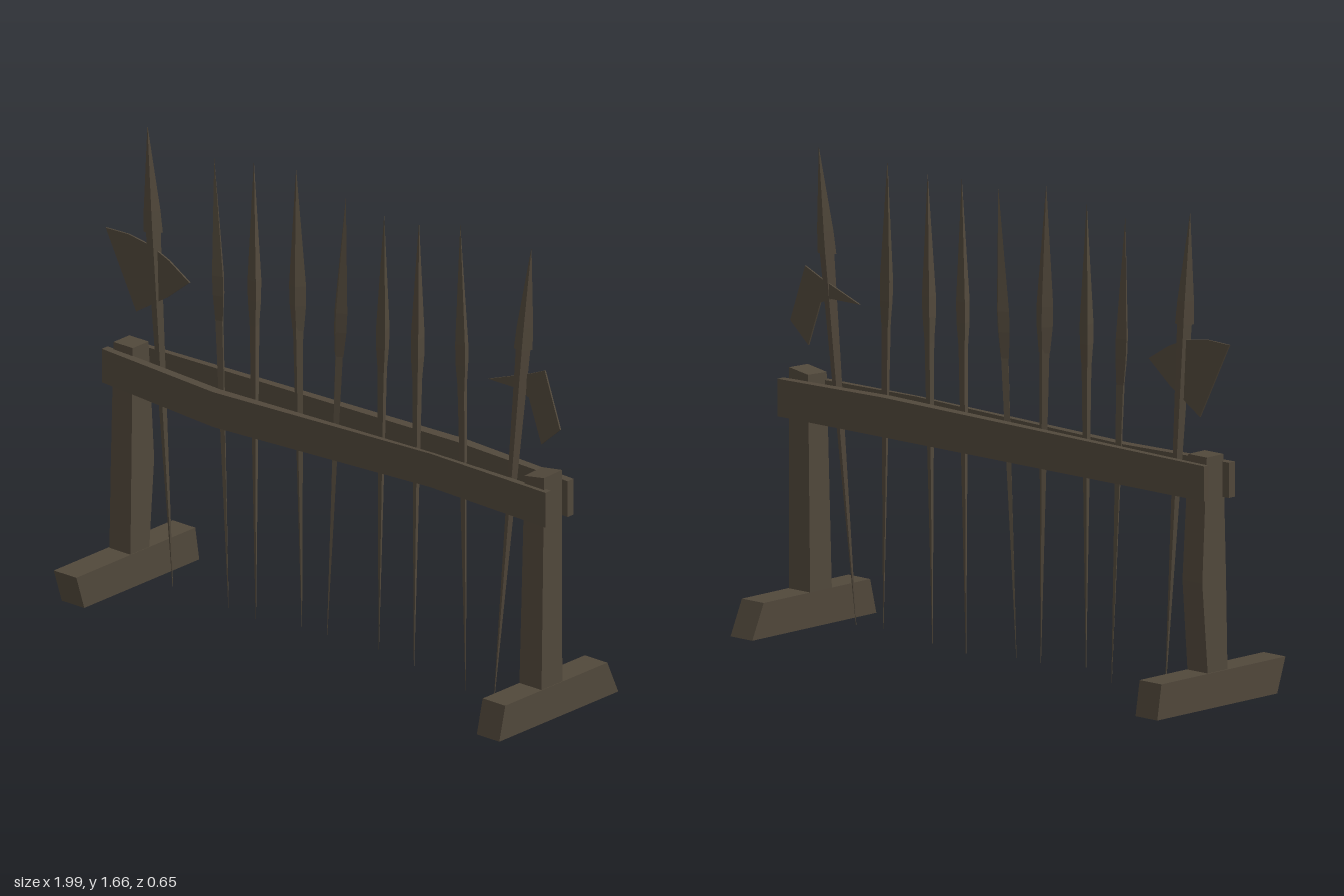
import * as THREE from 'three';

const wood = new THREE.MeshStandardMaterial({ color: 0x51483b, flatShading: true });
wood.name = 'darkBrown';

// Skin four-cornered sections [[x,y,z] x 4] into a closed, faceted solid
function loft(name, rings) {
  const tris = [];
  const quad = (a, b, c, d) => tris.push([a, b, c], [a, c, d]);
  for (let i = 0; i < rings.length - 1; i++) {
    for (let j = 0; j < 4; j++) {
      const k = (j + 1) % 4;
      quad(rings[i][j], rings[i][k], rings[i + 1][k], rings[i + 1][j]);
    }
  }
  const first = rings[0], last = rings[rings.length - 1];
  quad(first[3], first[2], first[1], first[0]);
  quad(...last);
  // Turn the faces outward if the signed volume is negative
  const v = (p) => new THREE.Vector3(...p);
  const volume = tris.reduce((s, [a, b, c]) => s + v(a).dot(v(b).cross(v(c))), 0);
  if (volume < 0) tris.forEach((t) => t.reverse());
  const geo = new THREE.BufferGeometry();
  geo.setAttribute('position', new THREE.Float32BufferAttribute(tris.flat(2), 3));
  geo.computeVertexNormals();
  const mesh = new THREE.Mesh(geo, wood);
  mesh.name = name;
  return mesh;
}

// Horizontal section of a post, vertical section of a rail
const flat = (y, x0, x1, z0, z1) => [[x0, y, z0], [x1, y, z0], [x1, y, z1], [x0, y, z1]];
const upright = (x, y0, y1, z0, z1) => [[x, y0, z0], [x, y1, z0], [x, y1, z1], [x, y0, z1]];

// Tapered four-sided rod along a leaning axis; profile rows are [height, radius]
function rod(name, tip, foot, profile, turn, squash = 0.75) {
  return loft(name, profile.map(([y, r]) => {
    const t = (y - foot[1]) / (tip[1] - foot[1]);
    const cx = foot[0] + (tip[0] - foot[0]) * t;
    const cz = foot[2] + (tip[2] - foot[2]) * t;
    return [0, 1, 2, 3].map((k) => {
      const a = k * Math.PI / 2;
      const u = Math.cos(a) * r, w = Math.sin(a) * r * squash;
      return [cx + u * Math.cos(turn) - w * Math.sin(turn), y,
        cz + u * Math.sin(turn) + w * Math.cos(turn)];
    });
  }));
}

// Thin flat axe blade
function blade(name, points, z) {
  const shape = new THREE.Shape(points.map(([x, y]) => new THREE.Vector2(x, y)));
  const geo = new THREE.ExtrudeGeometry(shape, { depth: 0.006, bevelEnabled: false });
  const mesh = new THREE.Mesh(geo, wood);
  mesh.position.z = z - 0.003;
  mesh.name = name;
  return mesh;
}

export function createModel() {
  const model = new THREE.Group();
  model.name = 'weaponRack';

  // Feet with slanted ends
  model.add(
    loft('rightFoot', [flat(0, -0.95, -0.85, -0.295, 0.285), flat(0.12, -0.95, -0.85, -0.275, 0.325)]),
    loft('leftFoot', [flat(0, 0.88, 0.98, -0.325, 0.275), flat(0.12, 0.88, 0.98, -0.27, 0.245)]),
  );

  // Uneven posts
  model.add(
    loft('rightPost', [
      flat(0.11, -0.945, -0.852, -0.045, 0.05),
      flat(0.43, -0.943, -0.852, -0.07, 0.045),
      flat(0.855, -0.94, -0.855, -0.045, 0.035),
    ]),
    loft('leftPost', [
      flat(0.11, 0.88, 0.978, -0.045, 0.06),
      [[0.885, 0.862, -0.05], [0.972, 0.875, -0.05], [0.972, 0.872, 0.04], [0.885, 0.858, 0.04]],
    ]),
  );

  // Warped rails on both sides of the posts
  model.add(
    loft('frontRail', [
      upright(-0.97, 0.71, 0.83, 0.03, 0.06),
      upright(-0.46, 0.69, 0.815, 0.045, 0.08),
      upright(0.48, 0.715, 0.835, 0.042, 0.055),
      upright(0.993, 0.705, 0.83, 0.03, 0.057),
    ]),
    loft('backRail', [
      upright(-0.95, 0.71, 0.83, -0.068, -0.048),
      upright(0.5, 0.715, 0.85, -0.095, -0.055),
      upright(0.993, 0.71, 0.838, -0.085, -0.055),
    ]),
  );

  // Pole arms: tip, foot, turn of the cross-section, and whether it carries an axe
  const arms = [
    { tip: [-0.807, 1.657, 0.015], foot: [-0.73, 0.015, -0.025], turn: -0.6, axe: true },
    { tip: [-0.535, 1.605, -0.012], foot: [-0.47, 0.01, -0.01], turn: 0.3 },
    { tip: [-0.375, 1.63, -0.03], foot: [-0.305, 0.03, 0.04], turn: 0.7 },
    { tip: [-0.172, 1.66, -0.012], foot: [-0.145, 0.03, -0.01], turn: -0.3 },
    { tip: [0.048, 1.615, -0.012], foot: [-0.033, 0.03, -0.01], turn: 0.1 },
    { tip: [0.246, 1.615, 0.02], foot: [0.165, 0.02, -0.045], turn: 0.6 },
    { tip: [0.374, 1.615, -0.01], foot: [0.352, 0.02, -0.01], turn: 0.8 },
    { tip: [0.535, 1.64, -0.035], foot: [0.625, 0.02, 0.04], turn: 0.5 },
    { tip: [0.85, 1.64, -0.035], foot: [0.75, 0.015, 0.04], turn: -0.5, axe: true },
  ];
  for (const { tip, foot, turn, axe } of arms) {
    const arm = new THREE.Group();
    arm.name = axe ? 'poleAxe' : 'spear';
    const top = tip[1];
    const shaft = axe
      ? [[foot[1], 0.001], [0.85, 0.017], [1.285, 0.025]]
      : [[foot[1], 0.001], [0.85, 0.015], [1.18, 0.02]];
    const head = axe
      ? [[1.28, 0.032], [1.36, 0.028], [top, 0.0005]]
      : [[top - 0.57, 0.021], [top - 0.48, 0.03], [top - 0.41, 0.031], [top, 0.0005]];
    arm.add(rod('shaft', tip, foot, shaft, turn, 0.9), rod('spearhead', tip, foot, head, turn));
    model.add(arm);
  }

  // Axe blades of the two outer pole arms
  model.add(
    blade('broadAxeBlade', [[-1, 1.24], [-0.865, 0.975], [-0.73, 1.06], [-0.63, 1.14],
      [-0.72, 1.195], [-0.8, 1.228], [-0.9, 1.243]], 0.003),
    blade('hookedAxeBlade', [[0.67, 1.13], [0.8, 1.13], [0.85, 1.11], [0.905, 0.957],
      [0.988, 1.03], [0.92, 1.225], [0.85, 1.195]], -0.025),
  );

  // Centre the footprint
  model.position.x = 0;
  return model;
}
